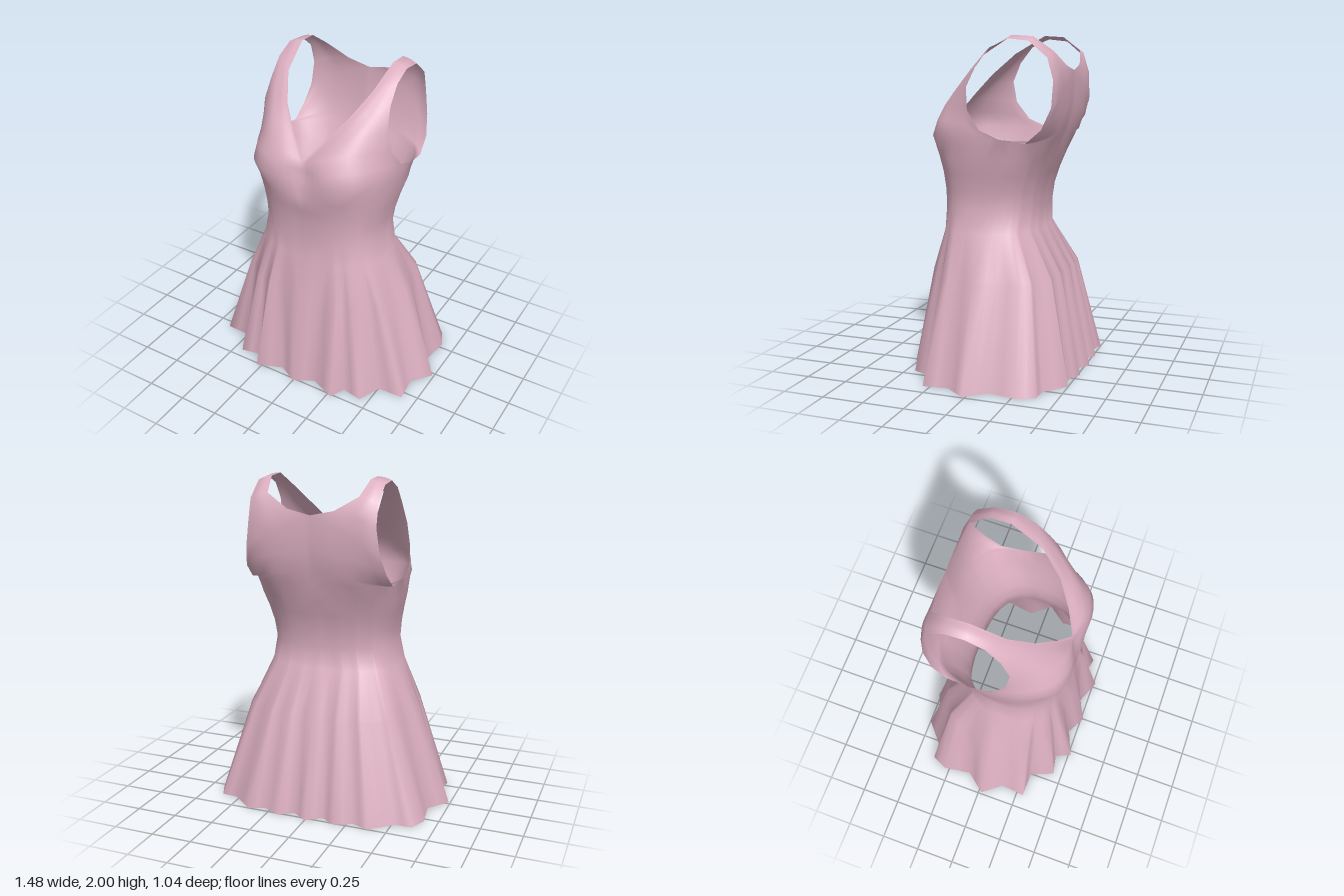
import * as THREE from 'three';
import { mergeVertices } from 'three/addons/utils/BufferGeometryUtils.js';

// Pleated hem, left half, from centre front to centre back: x, z
const HEM = [
  [0, 0.515], [0.12, 0.45], [0.28, 0.515], [0.32, 0.42], [0.445, 0.445], [0.505, 0.30],
  [0.66, 0.295], [0.645, 0.14], [0.74, 0.02], [0.64, -0.105], [0.665, -0.28], [0.62, -0.38],
  [0.52, -0.385], [0.385, -0.50], [0.285, -0.465], [0.18, -0.515], [0.09, -0.46], [0, -0.525],
];

// Smooth rings up the body: height, half width, front z, back z, middle z, pleat share
const RINGS = [
  [0.60, 0.52, 0.41, -0.38, 0.01, 0.4],
  [0.86, 0.405, 0.352, -0.235, 0.05, 0],
  [1.00, 0.375, 0.35, -0.238, 0.04, 0],
  [1.10, 0.385, 0.355, -0.25, 0.02, 0],
  [1.20, 0.405, 0.37, -0.28, -0.01, 0],
  [1.30, 0.43, 0.397, -0.32, -0.05, 0],
];

// Bodice rows, each from the centre or neckline out to the armhole: x, y, z
const FRONT = [
  [[0, 1.40, 0.36], [0.17, 1.41, 0.402], [0.33, 1.42, 0.35], [0.43, 1.42, 0.15], [0.45, 1.42, -0.1]],
  [[0, 1.46, 0.35], [0.17, 1.49, 0.385], [0.32, 1.51, 0.32], [0.42, 1.50, 0.15], [0.45, 1.47, 0.02]],
  [[0, 1.51, 0.34], [0.13, 1.56, 0.355], [0.27, 1.60, 0.30], [0.37, 1.60, 0.20], [0.43, 1.58, 0.10]],
  [[0.10, 1.63, 0.275], [0.19, 1.66, 0.265], [0.28, 1.69, 0.23], [0.35, 1.70, 0.175], [0.405, 1.71, 0.115]],
  [[0.20, 1.76, 0.185], [0.25, 1.78, 0.165], [0.30, 1.79, 0.14], [0.35, 1.81, 0.105], [0.39, 1.83, 0.06]],
];
const STRAP = [
  [[0.275, 1.89, 0.055], [0.33, 1.915, 0.02], [0.385, 1.93, -0.02]],
  [[0.30, 2.0, -0.13], [0.345, 1.995, -0.13], [0.385, 1.98, -0.13]],
  [[0.30, 1.993, -0.25], [0.345, 1.985, -0.25], [0.385, 1.967, -0.25]],
  [[0.275, 1.91, -0.365], [0.33, 1.90, -0.37], [0.385, 1.875, -0.36]],
];
const BACK = [
  [[0.14, 1.83, -0.40], [0.22, 1.81, -0.405], [0.31, 1.79, -0.41], [0.385, 1.75, -0.395]],
  [[0, 1.80, -0.405], [0.14, 1.74, -0.41], [0.28, 1.68, -0.412], [0.36, 1.63, -0.405], [0.405, 1.60, -0.39]],
  [[0, 1.62, -0.40], [0.15, 1.58, -0.405], [0.30, 1.55, -0.395], [0.39, 1.51, -0.37], [0.43, 1.48, -0.34]],
  [[0, 1.48, -0.37], [0.15, 1.46, -0.375], [0.32, 1.43, -0.35], [0.40, 1.41, -0.30], [0.44, 1.40, -0.25]],
  [[0, 1.40, -0.345], [0.15, 1.40, -0.35], [0.30, 1.40, -0.33], [0.41, 1.40, -0.24], [0.45, 1.42, -0.1]],
];
const SEGS = 17; // columns in each of the front and back panels

// Hem with a midpoint on every pleat face
function hemPoints() {
  const pts = [];
  for (let i = 0; i <= 2 * SEGS; i++) {
    const a = HEM[Math.floor(i / 2)], b = HEM[Math.ceil(i / 2)];
    pts.push(new THREE.Vector3((a[0] + b[0]) / 2, 0, (a[1] + b[1]) / 2));
  }
  return pts;
}

// Rounded-square half ring whose columns follow the pleats
function ring(hem, [y, w, front, back, mid, pleat]) {
  return hem.map((h) => {
    const t = Math.atan2(h.x / 0.7, h.z / 0.49);
    const s = Math.pow(Math.abs(Math.sin(t)), 0.75), c = Math.pow(Math.abs(Math.cos(t)), 0.75);
    const p = new THREE.Vector3(w * s, y, mid + (Math.cos(t) > 0 ? front - mid : back - mid) * c);
    const pleated = new THREE.Vector3(h.x * w / 0.7, y, h.z * (h.z > 0 ? front / 0.49 : -back / 0.49));
    return p.lerp(pleated, pleat);
  });
}

function curveRow(points) {
  return new THREE.CatmullRomCurve3(points.map((p) => new THREE.Vector3(...p))).getSpacedPoints(SEGS);
}

// Adds a grid of rows and its mirror image
function addGrid(rows, positions, indices) {
  for (const side of [1, -1]) {
    const start = positions.length / 3, n = rows[0].length;
    rows.forEach((row) => row.forEach((p) => positions.push(side * p.x, p.y, p.z)));
    for (let r = 0; r < rows.length - 1; r++) {
      for (let c = 0; c < n - 1; c++) {
        const a = start + r * n + c, b = a + 1, d = a + n, e = d + 1;
        if (side > 0) indices.push(a, b, e, a, e, d);
        else indices.push(a, e, b, a, d, e);
      }
    }
  }
}

export function createModel() {
  const group = new THREE.Group();
  group.name = 'dress';
  const positions = [], indices = [];

  // Skirt and waist
  const hem = hemPoints();
  const body = [hem, ...RINGS.map((r) => ring(hem, r))];
  addGrid(body, positions, indices);

  // Bodice: up the front, over the shoulder strap and down the back, around the armhole
  const top = body[body.length - 1];
  const bodice = [
    top.slice(0, SEGS + 1),
    ...[...FRONT, ...STRAP, ...BACK].map(curveRow),
    top.slice(SEGS).reverse(),
  ];
  addGrid(bodice, positions, indices);

  // Weld the seams so shading runs smoothly over the whole garment
  let geometry = new THREE.BufferGeometry();
  geometry.setAttribute('position', new THREE.Float32BufferAttribute(positions, 3));
  geometry.setIndex(indices);
  geometry = mergeVertices(geometry, 1e-4);
  geometry.computeVertexNormals();

  const material = new THREE.MeshStandardMaterial({ color: 0xdcafc0, side: THREE.DoubleSide });
  const cloth = new THREE.Mesh(geometry, material);
  cloth.name = 'skirtAndBodice';
  group.add(cloth);
  return group;
}
